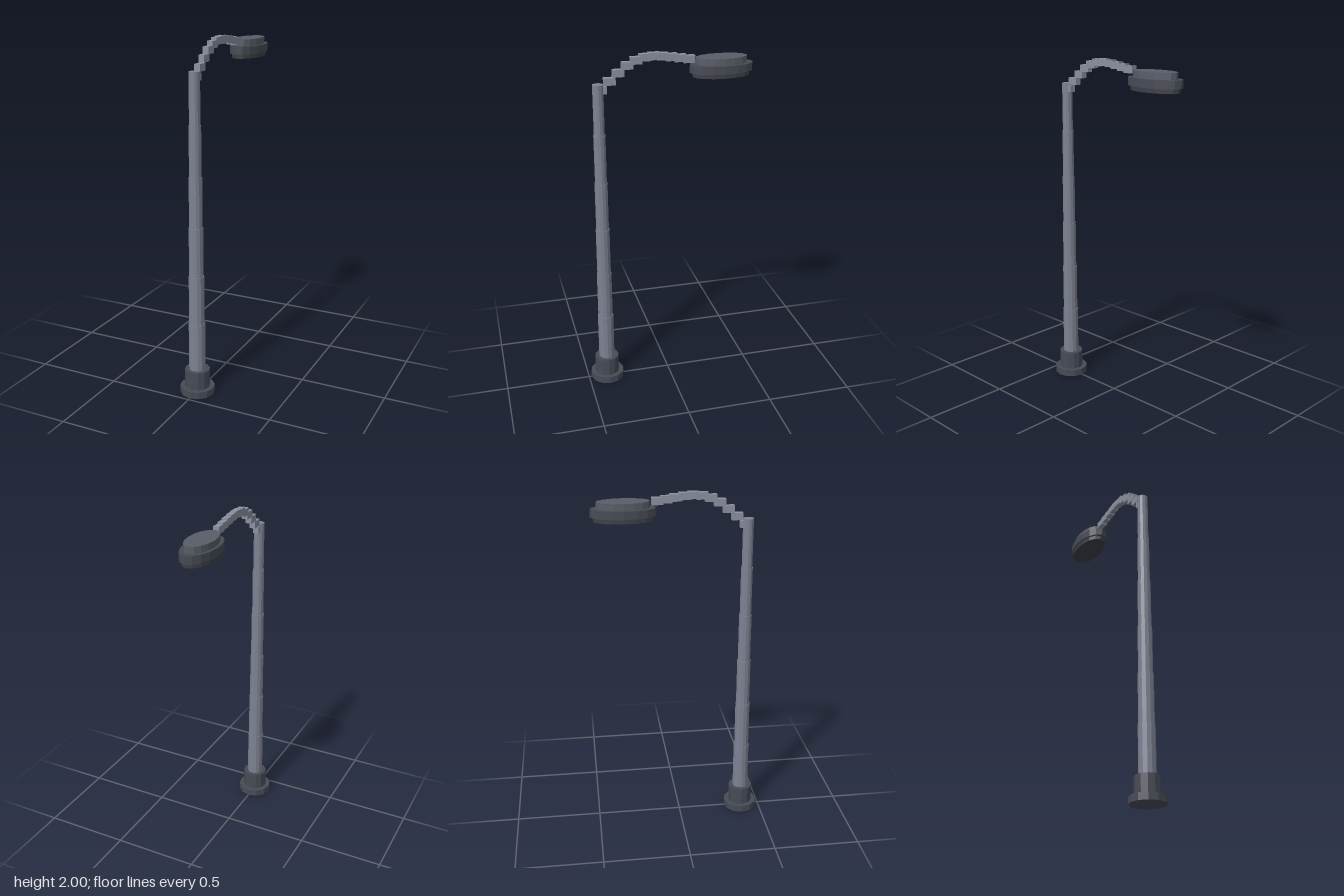
import * as THREE from 'three';

const POLE_Z = 0.385, HEAD_Z = -0.305;

const paint = (color) => new THREE.MeshStandardMaterial({ color, flatShading: true });

// Upright (optionally elliptical) disc or cylinder between two heights
function drum(name, rx, rz, y0, y1, z, sides, material) {
  const geo = new THREE.CylinderGeometry(1, 1, y1 - y0, sides);
  geo.scale(rx, 1, rz);
  const mesh = new THREE.Mesh(geo, material);
  mesh.name = name;
  mesh.position.set(0, (y0 + y1) / 2, z);
  return mesh;
}

export function createModel() {
  const model = new THREE.Group();
  model.name = 'streetLamp';
  const dark = paint(0x474b55);
  const steel = paint(0x7e8292);
  const armPaint = paint(0x8c90a0);
  const cap = paint(0x5a5d69);
  const lens = paint(0x3c3f46);

  // Stepped foot
  const base = new THREE.Group();
  base.name = 'base';
  base.add(
    drum('basePlate', 0.1, 0.1, 0, 0.04, POLE_Z, 12, dark),
    drum('baseCollar', 0.072, 0.072, 0.04, 0.145, POLE_Z, 12, dark)
  );

  // Pole made of six sections, each a little thinner than the one below
  const pole = new THREE.Group();
  pole.name = 'pole';
  const sections = 6, y0 = 0.145, step = (1.843 - y0) / sections;
  for (let i = 0; i < sections; i++) {
    const r = 0.047 - i * 0.0033;
    pole.add(drum('poleSection', r, r, y0 + i * step, y0 + (i + 1) * step, POLE_Z, 12, steel));
  }

  // Arched arm of short overlapping blocks
  const arm = new THREE.Group();
  arm.name = 'arm';
  const heights = [1.812, 1.857, 1.899, 1.937, 1.962, 1.976, 1.98, 1.976, 1.969, 1.961, 1.953];
  const block = new THREE.BoxGeometry(0.034, 0.04, 0.064);
  heights.forEach((y, i) => {
    const mesh = new THREE.Mesh(block, armPaint);
    mesh.name = 'armBlock';
    mesh.position.set(0, y, 0.37 - i * 0.049);
    arm.add(mesh);
  });

  // Oval lamp head in three tiers
  const head = new THREE.Group();
  head.name = 'lampHead';
  head.add(
    drum('headCap', 0.073, 0.146, 1.92, 1.957, HEAD_Z, 16, cap),
    drum('headRim', 0.09, 0.18, 1.875, 1.92, HEAD_Z, 16, dark),
    drum('headLens', 0.081, 0.163, 1.85, 1.875, HEAD_Z, 16, lens)
  );

  model.add(base, pole, arm, head);
  return model;
}
